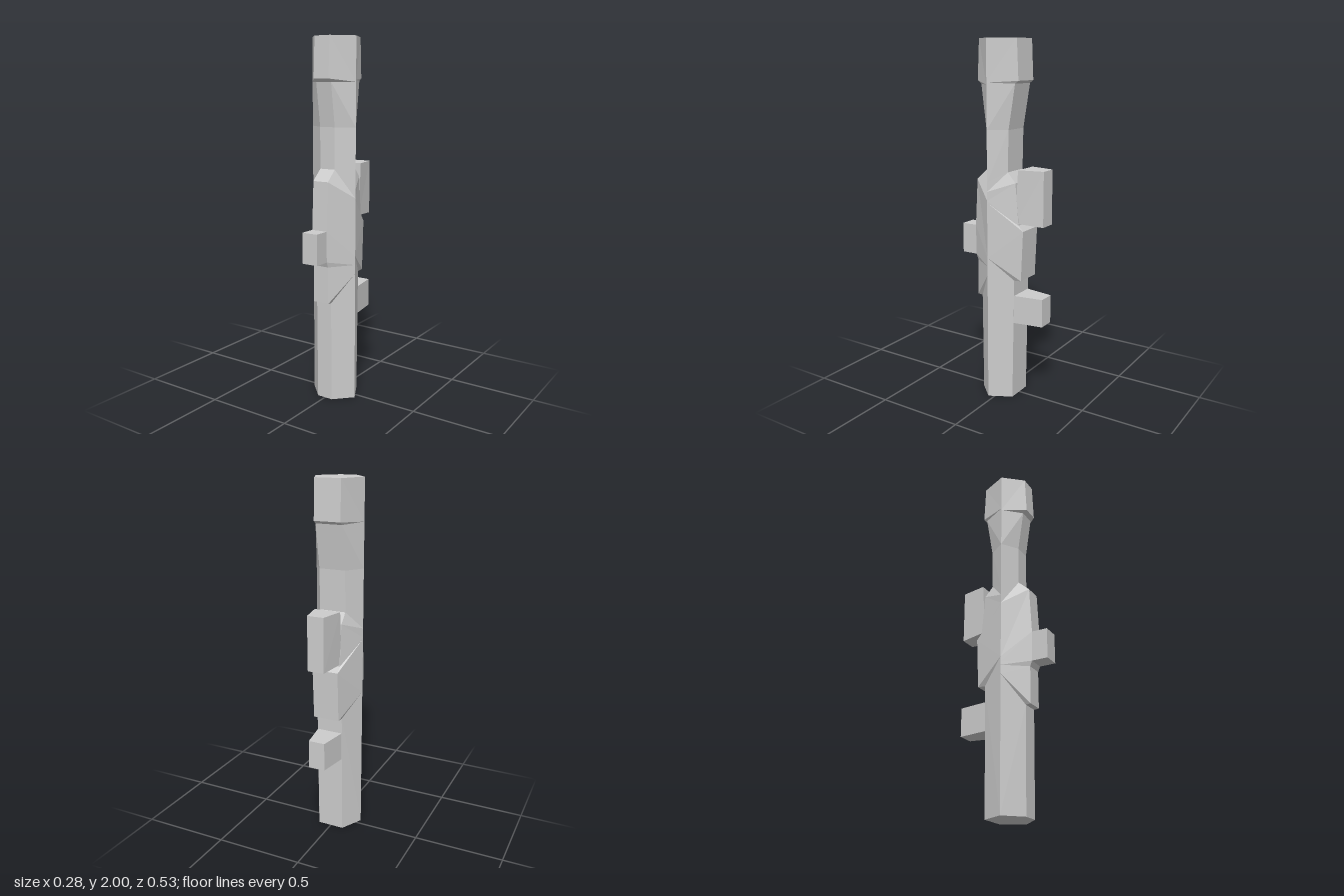
import * as THREE from 'three';

const material = new THREE.MeshStandardMaterial({ color: 0xcccccc, flatShading: true });
const FRONT = 0.047, BACK = 0.075, RIDGE_X = 0.14, RIDGE_Z = 0.033;

// Profiles from bottom to top: [height at face, depth at face, height at side ridge]
const frontProfile = [
  [0, 0.127, 0], [0.57, 0.132, 0.73], [0.573, 0.16, 0.73], [0.78, 0.16, 0.78],
  [0.81, 0.172, 0.8], [0.98, 0.174, 0.83], [1.245, 0.16, 1.15], [1.305, 0.095, 1.25],
  [1.53, 0.095, 1.53], [1.765, 0.129, 1.765], [1.782, 0.152, 1.765], [2, 0.142, 2],
];
const backProfile = [
  [0, -0.09, 0], [0.705, -0.1, 0.83], [0.708, -0.143, 0.83], [0.99, -0.155, 1.14],
  [1.02, -0.126, 1.15], [1.25, -0.106, 1.2], [1.305, -0.058, 1.25],
  [1.53, -0.062, 1.53], [1.77, -0.102, 1.775], [1.785, -0.122, 1.775], [2, -0.112, 2],
];

function geometryFrom(points) {
  const g = new THREE.BufferGeometry();
  g.setAttribute('position', new THREE.Float32BufferAttribute(points.flat(), 3));
  g.computeVertexNormals();
  return g;
}

// Three facets per profile step, from one side ridge round to the other
function shell(profile, halfWidth, sign) {
  const rows = profile.map(([y, z, ry]) => [
    [-RIDGE_X * sign, ry, RIDGE_Z], [-halfWidth * sign, y, z],
    [halfWidth * sign, y, z], [RIDGE_X * sign, ry, RIDGE_Z],
  ]);
  const points = [];
  for (let i = 0; i < rows.length - 1; i++) {
    for (let j = 0; j < 3; j++) {
      const a = rows[i][j], b = rows[i][j + 1], c = rows[i + 1][j + 1], d = rows[i + 1][j];
      // Mirror the diagonal on the far side so both sides match
      if (j === 2) points.push(a, b, d, b, c, d);
      else points.push(a, b, c, a, c, d);
    }
  }
  return geometryFrom(points);
}

// Flat hexagonal end, facing up or down
function cap(y, zFront, zBack, up) {
  const ring = [
    [-FRONT, y, zFront], [FRONT, y, zFront], [RIDGE_X, y, RIDGE_Z],
    [BACK, y, zBack], [-BACK, y, zBack], [-RIDGE_X, y, RIDGE_Z],
  ];
  const points = [];
  for (let i = 1; i < 5; i++) {
    points.push(ring[0], ...(up ? [ring[i], ring[i + 1]] : [ring[i + 1], ring[i]]));
  }
  return geometryFrom(points);
}

// Block whose two z ends may have different widths
function block(y0, y1, zNear, zFar, wNear, wFar) {
  const g = new THREE.BoxGeometry(2, y1 - y0, zNear - zFar);
  g.translate(0, (y0 + y1) / 2, (zNear + zFar) / 2);
  const p = g.attributes.position;
  const mid = (zNear + zFar) / 2;
  for (let i = 0; i < p.count; i++) p.setX(i, p.getX(i) * (p.getZ(i) > mid ? wNear : wFar));
  g.computeVertexNormals();
  return g;
}

export function createModel() {
  const group = new THREE.Group();
  const add = (name, geometry) => {
    const mesh = new THREE.Mesh(geometry, material);
    mesh.name = name;
    group.add(mesh);
  };

  // Column
  add('columnFront', shell(frontProfile, FRONT, 1));
  add('columnBack', shell(backProfile, BACK, -1));
  add('columnTop', cap(2, 0.142, -0.112, true));
  add('columnBase', cap(0, 0.127, -0.09, false));

  // Projecting blocks
  add('frontBlock', block(0.81, 0.98, 0.263, 0.1, FRONT, FRONT));
  add('lowerBackBlock', block(0.455, 0.615, -0.09, -0.263, BACK, FRONT));

  // Upper block: leans back slightly at its top and its bottom drops rearward
  const upper = block(1.02, 1.322, -0.105, -0.263, BACK, FRONT);
  const p = upper.attributes.position;
  for (let i = 0; i < p.count; i++) {
    const near = p.getZ(i) > -0.2, top = p.getY(i) > 1.2;
    if (near && top) p.setZ(i, -0.122);
    if (near && !top) p.setY(i, 1.03);
  }
  upper.computeVertexNormals();
  add('upperBackBlock', upper);

  return group;
}
